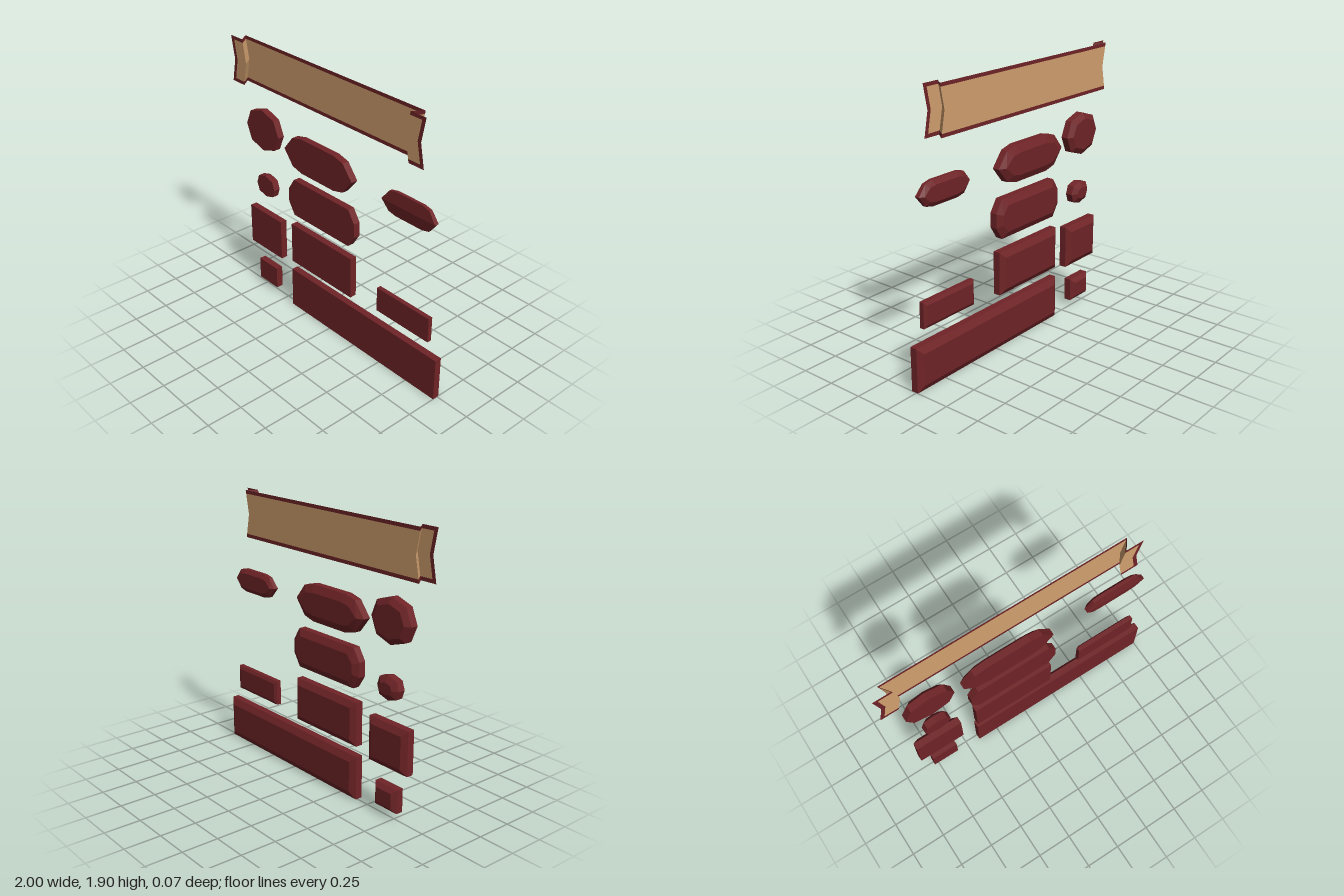
import * as THREE from 'three';
import { ConvexGeometry } from 'three/addons/geometries/ConvexGeometry.js';

const RED = 0x702427, TAN = 0xd2a06f;

// Convex plate: flat front, straight wall, bevelled back
function plate(name, cx, cy, outline, { front = 0.037, wall = -0.012, back = -0.037, inset = 0.04, ridge = 0 } = {}) {
  const hx = Math.max(...outline.map(p => p[0]));
  const hy = Math.max(...outline.map(p => p[1]));
  const sx = 1 - inset / hx, sy = 1 - inset / hy;
  const points = [];
  for (const [x, y] of outline) {
    // an optional lengthwise crest on the front
    points.push(new THREE.Vector3(x, y, front - ridge * Math.abs(y) / hy));
    points.push(new THREE.Vector3(x, y, wall));
    points.push(new THREE.Vector3(x * sx, y * sy, back));
  }
  const material = new THREE.MeshStandardMaterial({ color: RED, flatShading: true });
  const mesh = new THREE.Mesh(new ConvexGeometry(points), material);
  mesh.name = name;
  mesh.position.set(cx, cy, 0);
  return mesh;
}

// Mirror quarter-outline points into all four quadrants
const mirror4 = pts => pts.flatMap(([x, y]) => [[x, y], [-x, y], [x, -y], [-x, -y]]);

function rectPlate(name, x0, x1, y0, y1, options) {
  return plate(name, (x0 + x1) / 2, (y0 + y1) / 2, mirror4([[(x1 - x0) / 2, (y1 - y0) / 2]]), options);
}

// Folded ribbon with swallow-tail ends: columns run along it, rows run down it
function createBanner() {
  const group = new THREE.Group();
  group.name = 'banner';
  const half = [[0.909, 0.037], [0.882, 0.037], [0.786, 0.037], [0.838, -0.03]];
  const columns = [
    ...half.map(([x, z]) => ({ x: -x, z, dir: 1 })),
    ...half.slice().reverse().map(([x, z]) => ({ x, z, dir: -1 })),
  ];
  const h = 0.163, rows = [h, h - 0.024, 0, 0.024 - h, -h];
  const at = (c, y) => [c.x + c.dir * 0.032 * (1 - Math.abs(y) / h), y, c.z];
  const cloth = [], trim = [];
  for (let i = 0; i < columns.length - 1; i++) {
    for (let j = 0; j < rows.length - 1; j++) {
      const edge = i === 0 || i === columns.length - 2 || j === 0 || j === rows.length - 2;
      const a = at(columns[i], rows[j]), b = at(columns[i], rows[j + 1]);
      const c = at(columns[i + 1], rows[j + 1]), d = at(columns[i + 1], rows[j]);
      (edge ? trim : cloth).push(...a, ...b, ...c, ...a, ...c, ...d);
    }
  }
  for (const [name, data, color] of [['bannerCloth', cloth, TAN], ['bannerTrim', trim, RED]]) {
    const geometry = new THREE.BufferGeometry();
    geometry.setAttribute('position', new THREE.Float32BufferAttribute(data, 3));
    geometry.computeVertexNormals();
    const mesh = new THREE.Mesh(geometry, new THREE.MeshStandardMaterial({ color, side: THREE.DoubleSide, flatShading: true }));
    mesh.name = name;
    group.add(mesh);
  }
  group.position.set(-0.091, 1.735, 0);
  return group;
}

export function createModel() {
  const model = new THREE.Group();
  model.name = 'panelSet';
  const thin = { front: 0.03, wall: -0.002, back: -0.014, inset: 0.022 };

  model.add(
    createBanner(),
    // Faceted plates
    plate('largeOctagon', -0.692, 1.294, mirror4([[0.173, 0], [0.126, 0.109], [0, 0.15]])),
    plate('longPointedPlate', -0.12, 1.248, mirror4([[0.334, 0], [0.249, 0.104], [0.16, 0.126]]), { inset: 0.05 }),
    plate('smallPointedPlate', 0.698, 1.248, mirror4([[0.222, 0], [0.168, 0.069], [0.11, 0.083]]),
      { ...thin, ridge: 0.01, back: -0.022, inset: 0.03 }),
    plate('smallOctagon', -0.679, 0.866, mirror4([[0.096, 0], [0.075, 0.059], [0, 0.08]])),
    plate('longChamferedPlate', -0.088, 0.906, mirror4([[0.329, 0.05], [0.273, 0.136]]), { inset: 0.045 }),
    // Rectangular plates
    rectPlate('squarePlate', -0.866, -0.519, 0.337, 0.638),
    rectPlate('mediumPlate', -0.397, 0.214, 0.377, 0.68),
    rectPlate('narrowPlate', 0.459, 0.917, 0.402, 0.578, thin),
    rectPlate('smallSquarePlate', -0.784, -0.586, 0.05, 0.214, { inset: 0.03 }),
    rectPlate('longPlate', -0.402, 1, 0, 0.305, { inset: 0.045 }),
  );
  return model;
}
